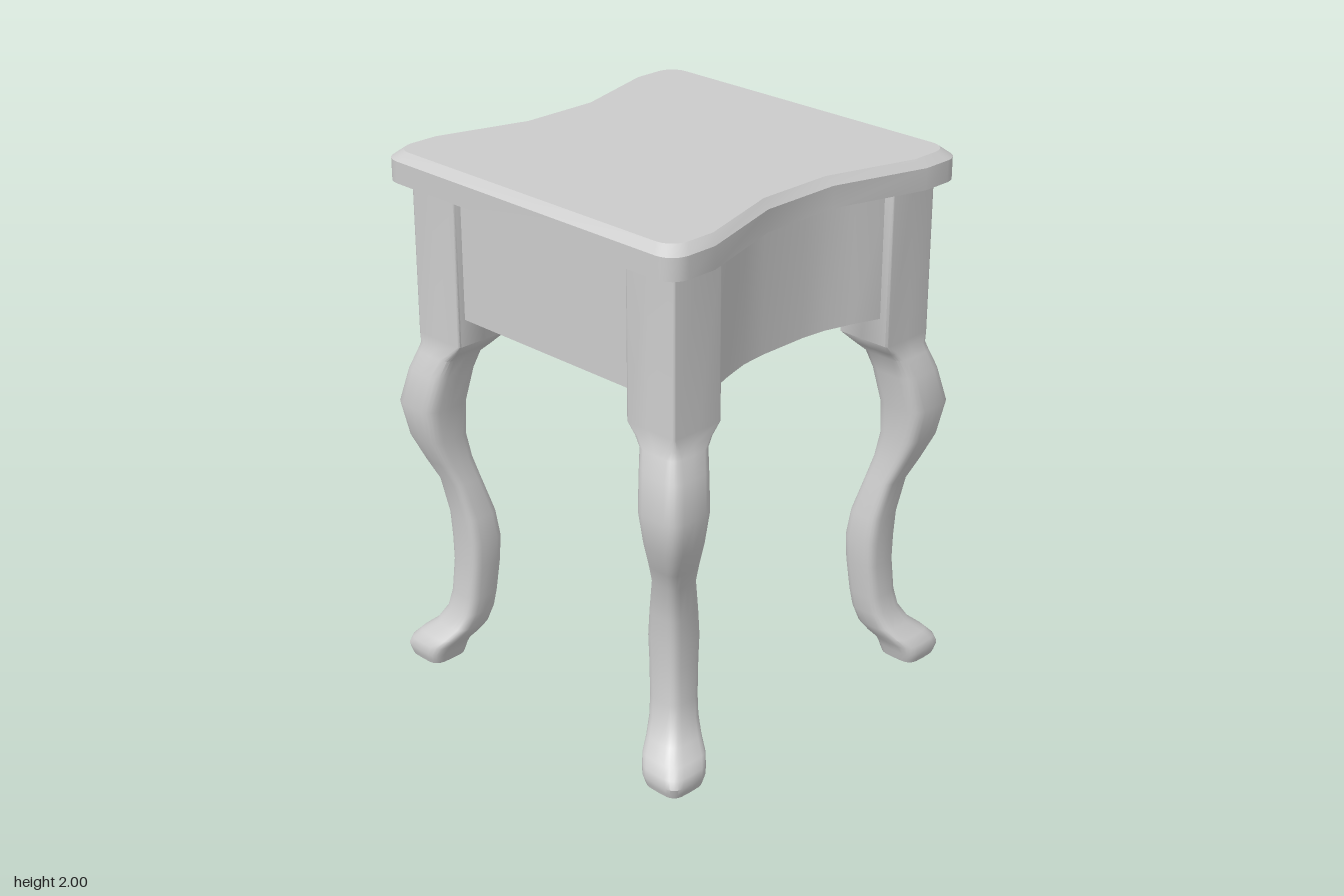
import * as THREE from 'three';
import { toCreasedNormals } from 'three/addons/utils/BufferGeometryUtils.js';

const grey = new THREE.MeshStandardMaterial({ color: 0xcccccc });
const dark = new THREE.MeshStandardMaterial({ color: 0x5c5c5c });

function add(parent, name, geometry, material = grey) {
  const mesh = new THREE.Mesh(geometry, material);
  mesh.name = name;
  parent.add(mesh);
  return mesh;
}

// Skin a stack of rings (each { y, pts }, pts counter-clockwise in x and -z) and cap both ends
function loft(rings, crease = 0.6) {
  const n = rings[0].pts.length;
  const pos = [];
  const put = (r, j) => pos.push(r.pts[j % n].x, r.y, -r.pts[j % n].y);
  for (let i = 0; i < rings.length - 1; i++) {
    const a = rings[i], b = rings[i + 1];
    for (let j = 0; j < n; j++) {
      put(a, j); put(a, j + 1); put(b, j + 1);
      put(a, j); put(b, j + 1); put(b, j);
    }
  }
  const first = rings[0], last = rings[rings.length - 1];
  for (const [a, b, c] of THREE.ShapeUtils.triangulateShape(last.pts, [])) {
    put(last, a); put(last, b); put(last, c);
    put(first, a); put(first, c); put(first, b);
  }
  const g = new THREE.BufferGeometry();
  g.setAttribute('position', new THREE.Float32BufferAttribute(pos, 3));
  return toCreasedNormals(g, crease);
}

// Mirror a quarter outline into a full one
function mirrorQuarter(quarter) {
  const back = [...quarter].reverse();
  return [
    ...quarter,
    ...back.map(([x, w]) => [-x, w]),
    ...quarter.map(([x, w]) => [-x, -w]),
    ...back.map(([x, w]) => [x, -w]),
  ].map(([x, w]) => new THREE.Vector2(x, w));
}

// Waisted slab with rounded corners and a chamfered upper edge
function topGeometry() {
  const quarter = [[0.6, 0.16], [0.707, 0.52]];
  for (let i = 0; i <= 6; i++) {
    const t = (i / 6) * Math.PI / 2;
    quarter.push([0.632 + 0.075 * Math.cos(t), 0.635 + 0.075 * Math.sin(t)]);
  }
  const outline = mirrorQuarter(quarter);
  const inset = outline.map((p) => new THREE.Vector2(p.x * 0.953, p.y * 0.953));
  return loft([{ y: 1.89, pts: outline }, { y: 1.97, pts: outline }, { y: 2, pts: inset }], 0.4);
}

// Leg sections: height, inner edge, outer edge, squareness
const legSections = [
  [0, 0.55, 0.71, 4], [0.015, 0.545, 0.715, 4], [0.04, 0.538, 0.722, 4],
  [0.07, 0.525, 0.715, 3.5], [0.1, 0.502, 0.69, 3.5], [0.14, 0.48, 0.645, 3.5],
  [0.2, 0.465, 0.612, 3.5], [0.27, 0.456, 0.598, 3.5], [0.4, 0.446, 0.588, 4],
  [0.5, 0.442, 0.59, 4], [0.6, 0.454, 0.594, 4], [0.74, 0.49, 0.615, 4],
  [0.82, 0.508, 0.65, 4], [0.92, 0.52, 0.69, 4], [1.05, 0.514, 0.714, 4],
  [1.18, 0.492, 0.686, 4], [1.25, 0.475, 0.658, 5], [1.28, 0.45, 0.645, 8],
  [1.32, 0.42, 0.641, 30], [1.9, 0.42, 0.641, 30],
];

function legGeometry(sx, sz) {
  const sides = 24;
  const power = (v, n) => Math.sign(v) * Math.abs(v) ** (2 / n);
  return loft(legSections.map(([y, inner, outer, n]) => {
    const c = (inner + outer) / 2, r = (outer - inner) / 2;
    const pts = [];
    for (let j = 0; j < sides; j++) {
      const t = (j / sides) * Math.PI * 2;
      pts.push(new THREE.Vector2(sx * c + r * power(Math.cos(t), n), -sz * c + r * power(Math.sin(t), n)));
    }
    return { y, pts };
  }), 0.7);
}

// Drawer with bevelled face, oval plate and bail handle, facing the back
function createDrawer() {
  const drawer = new THREE.Group();
  drawer.name = 'drawer';

  const face = new THREE.Shape([[-0.385, -0.175], [0.385, -0.175], [0.385, 0.175], [-0.385, 0.175]]
    .map(([x, y]) => new THREE.Vector2(x, y)));
  add(drawer, 'drawerFront', new THREE.ExtrudeGeometry(face, {
    depth: 0.02, bevelThickness: 0.012, bevelSize: 0.02, bevelSegments: 1,
  }), dark).position.z = -0.004;

  const plate = add(drawer, 'handlePlate', new THREE.CylinderGeometry(0.25, 0.26, 0.014, 48), dark);
  plate.rotation.x = Math.PI / 2;
  plate.scale.z = 0.52;
  plate.position.z = 0.033;

  const rim = add(drawer, 'handlePlateRim', new THREE.TorusGeometry(0.225, 0.018, 8, 48), dark);
  rim.scale.y = 0.5;
  rim.position.z = 0.045;

  const bail = new THREE.CatmullRomCurve3([
    [-0.07, 0, 0.035], [-0.07, 0, 0.065], [-0.05, 0.02, 0.078],
    [0.05, 0.02, 0.078], [0.07, 0, 0.065], [0.07, 0, 0.035],
  ].map((p) => new THREE.Vector3(...p)));
  add(drawer, 'bailHandle', new THREE.TubeGeometry(bail, 32, 0.009, 8), dark);

  drawer.position.set(0, 1.675, -0.608);
  drawer.rotation.y = Math.PI;
  return drawer;
}

export function createModel() {
  const table = new THREE.Group();
  table.name = 'sideTable';

  add(table, 'tableTop', topGeometry()).position.set(-0.015, 0, -0.01);

  // Apron case with hollowed sides and a closed bottom
  const apron = mirrorQuarter([[0.525, 0.1], [0.535, 0.2], [0.565, 0.31], [0.61, 0.44], [0.61, 0.61]]);
  add(table, 'apron', loft([{ y: 1.42, pts: apron }, { y: 1.9, pts: apron }]));

  for (const [sx, sz, name] of [
    [1, 1, 'frontLeftLeg'], [-1, 1, 'frontRightLeg'], [1, -1, 'backLeftLeg'], [-1, -1, 'backRightLeg'],
  ]) add(table, name, legGeometry(sx, sz));

  table.add(createDrawer());
  return table;
}
